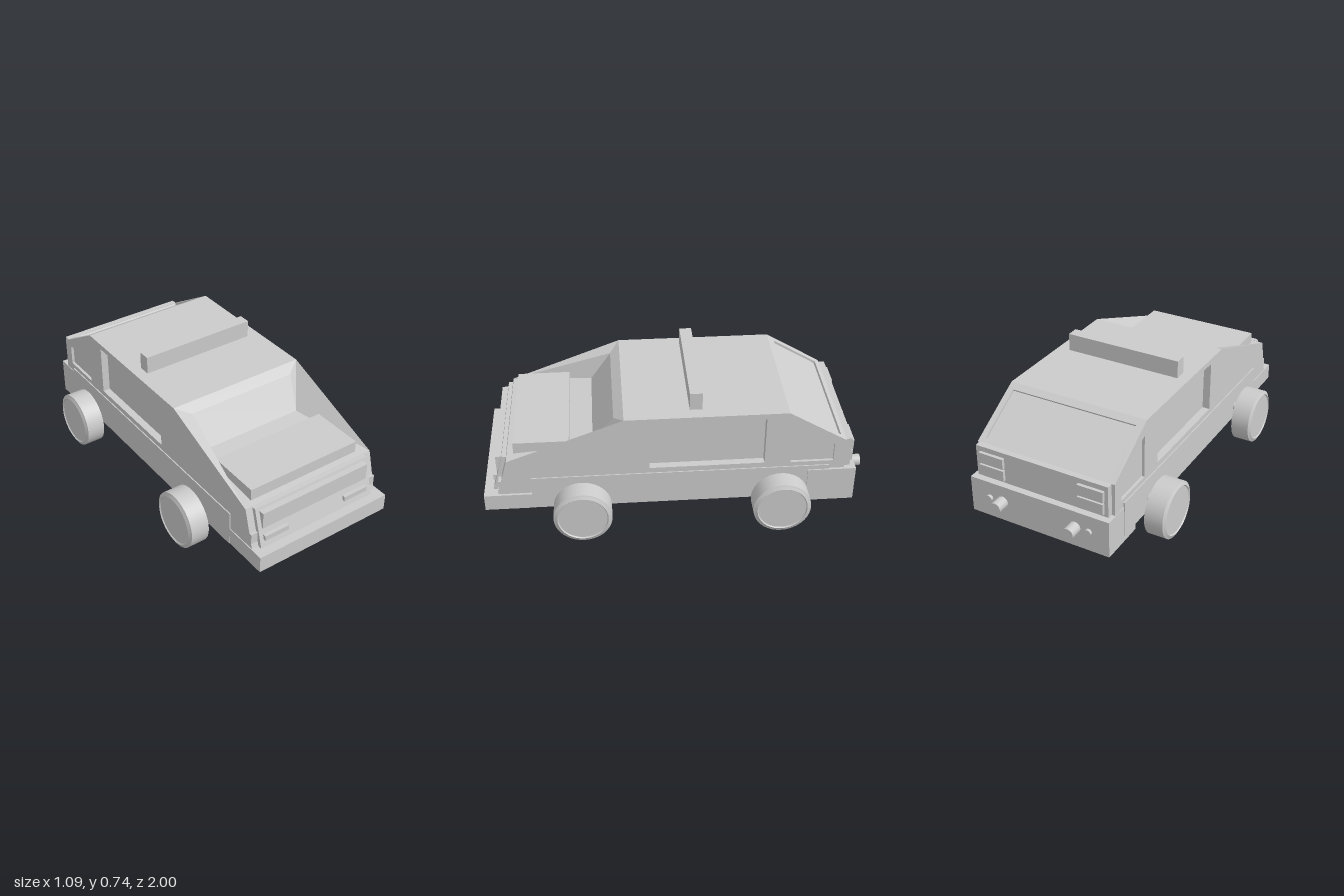
import * as THREE from 'three';

const material = new THREE.MeshStandardMaterial({ color: 0xcccccc, side: THREE.DoubleSide });

// Flat-shaded sheet made of convex polygons given by [x, y, z] corners.
function sheet(polys) {
  const pos = [];
  for (const p of polys)
    for (let i = 1; i < p.length - 1; i++) pos.push(...p[0], ...p[i], ...p[i + 1]);
  const g = new THREE.BufferGeometry();
  g.setAttribute('position', new THREE.Float32BufferAttribute(pos, 3));
  g.computeVertexNormals();
  return g;
}

// Band of quads joining two loops with equal corner counts.
const ring = (a, b) => a.map((p, i) => {
  const j = (i + 1) % a.length;
  return [p, a[j], b[j], b[i]];
});
const recess = (outer, inner) => [...ring(outer, inner), inner];
const shift = (loop, d) => loop.map(p => p.map((v, i) => v + d[i]));
// Rectangle across the car between two [y, z] edges.
const across = (l, r, [y0, z0], [y1, z1]) => [[l, y0, z0], [r, y0, z0], [r, y1, z1], [l, y1, z1]];

export function createModel() {
  const car = new THREE.Group();
  car.name = 'car';
  const add = (name, geometry, x = 0, y = 0, z = 0) => {
    const m = new THREE.Mesh(geometry, material);
    m.name = name;
    m.position.set(x, y, z);
    car.add(m);
    return m;
  };
  // Box from its limits on each axis.
  const box = (name, x0, x1, y0, y1, z0, z1) =>
    add(name, new THREE.BoxGeometry(x1 - x0, y1 - y0, z1 - z0), (x0 + x1) / 2, (y0 + y1) / 2, (z0 + z1) / 2);

  const W = 0.387;

  // Body sides with window openings, in (z, y)
  const outline = [[0.93, 0.2], [0.87, 0.415], [0.27, 0.64], [-0.565, 0.64], [-0.87, 0.455], [-0.87, 0.2]];
  const windows = {
    sideWindow: [[0.145, 0.335], [0.145, 0.61], [-0.45, 0.61], [-0.45, 0.335]],
    quarterWindow: [[-0.585, 0.33], [-0.585, 0.565], [-0.81, 0.435], [-0.81, 0.33]],
  };
  const toPoints = a => a.map(p => new THREE.Vector2(...p));
  const side = new THREE.Shape(toPoints(outline));
  for (const w of Object.values(windows)) side.holes.push(new THREE.Path(toPoints(w)));
  for (const s of [1, -1]) {
    add('bodySide', new THREE.ShapeGeometry(side).rotateY(-Math.PI / 2), s * W);
    for (const [name, w] of Object.entries(windows)) {
      const loop = w.map(([z, y]) => [s * W, y, z]);
      add(name, sheet(recess(loop, shift(loop, [-s * (name === 'sideWindow' ? 0.04 : 0.015), 0, 0]))));
    }
  }

  // Roof, front face and rear face
  add('roof', sheet([across(-W, W, [0.64, 0.27], [0.64, -0.565])]));
  add('frontFace', sheet([across(-W, W, [0.415, 0.87], [0.2, 0.93])]));
  add('rearFace', sheet([across(-W, W, [0.455, -0.87], [0.2, -0.87])]));

  // Sunken windscreen with flared walls running down into the hood
  const screen = [[-0.31, 0.605, 0.32], [0.31, 0.605, 0.32], [0.27, 0.45, 0.43], [-0.305, 0.45, 0.43]];
  add('windscreenAndHood', sheet(recess(across(-W, W, [0.64, 0.27], [0.415, 0.87]), screen)));
  box('hoodScoop', -0.33, 0.32, 0.4, 0.48, 0.55, 0.835);

  // Rear slope with a slightly sunken window
  const rearOpening = across(-0.35, 0.355, [0.619, -0.6], [0.47, -0.845]);
  add('rearSlope', sheet(ring(across(-W, W, [0.64, -0.565], [0.455, -0.87]), rearOpening)));
  add('rearWindow', sheet(recess(rearOpening, shift(rearOpening, [0, -0.01, 0.006]))));

  // Nose panel, grille and headlights
  const nose = across(-0.35, 0.343, [0.415, 0.872], [0.21, 0.93]);
  add('nosePanel', sheet(recess(nose, shift(nose, [0, 0, 0.022]))));
  box('grille', -0.328, 0.318, 0.31, 0.4, 0.88, 0.93);
  box('headlight', -0.328, -0.185, 0.248, 0.276, 0.9, 0.952);
  box('headlight', 0.165, 0.31, 0.248, 0.276, 0.9, 0.952);

  // Floor, lower side panels and bumpers
  box('floor', -W, W, 0.115, 0.29, -0.86, 0.92);
  for (const s of [1, -1]) box('lowerSidePanel', s * 0.389 - 0.004, s * 0.389 + 0.004, 0.115, 0.305, -0.79, 0.755);
  box('frontBumper', -0.392, 0.4, 0.12, 0.21, 0.755, 1);
  box('rearBumper', -0.39, 0.4, 0.08, 0.28, -0.933, -0.68);
  box('roofBar', -0.327, 0.318, 0.635, 0.735, -0.13, -0.065);

  // Tail panel and lights
  box('tailPanel', -0.37, 0.375, 0.285, 0.455, -0.903, -0.865);
  for (const s of [1, -1]) {
    box('tailLight', s * 0.28 - 0.07, s * 0.28 + 0.07, 0.37, 0.428, -0.92, -0.89);
    box('tailLight', s * 0.28 - 0.07, s * 0.28 + 0.07, 0.3, 0.36, -0.92, -0.89);
  }

  // Exhaust pipes
  const pipe = (name, x, y, r, zEnd) => {
    const len = zEnd + 0.9;
    add(name, new THREE.CylinderGeometry(r, r, -len, 24).rotateX(Math.PI / 2), x, y, -0.9 + len / 2);
  };
  for (const s of [1, -1]) {
    pipe('exhaust', s * 0.208 + 0.006, 0.19, 0.031, -1);
    pipe('smallExhaust', s * 0.284 + 0.005, 0.19, 0.018, -0.948);
  }

  // Axles and wheels
  const tyreProfile = toPoints([[0, 0], [0.15, 0], [0.15, 0], [0.15, 0.1], [0.15, 0.1],
    [0.143, 0.103], [0.143, 0.103], [0.13, 0.11], [0.13, 0.11], [0.125, 0.104], [0.125, 0.104], [0, 0.104]]);
  for (const z of [0.495, -0.53]) {
    add('axle', new THREE.CylinderGeometry(0.02, 0.02, 0.9, 20).rotateZ(Math.PI / 2), 0, 0.185, z - 0.015);
    for (const s of [1, -1])
      add('wheel', new THREE.LatheGeometry(tyreProfile, 40).rotateZ(-s * Math.PI / 2), s * 0.437, 0.15, z);
  }
  return car;
}
